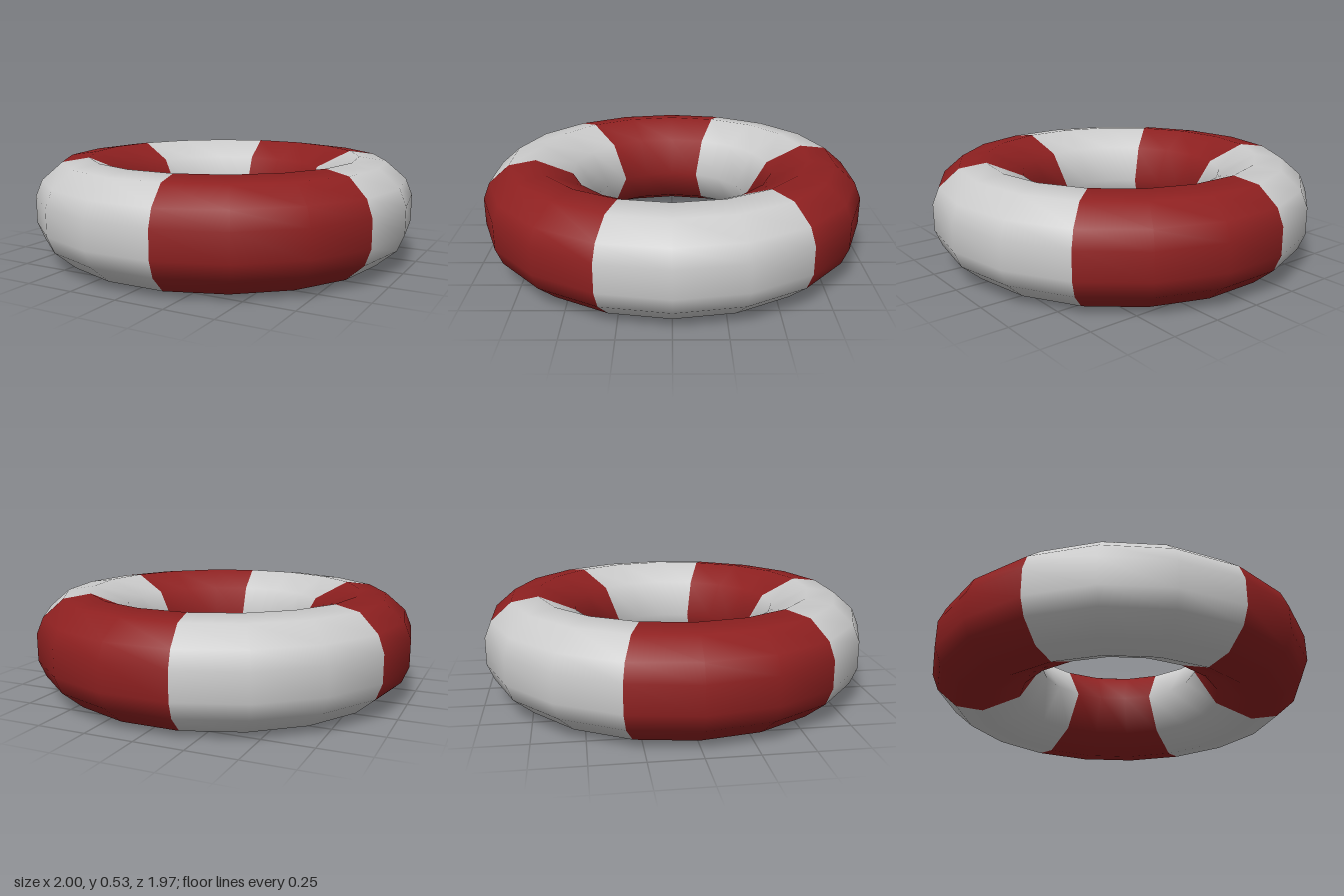
import * as THREE from 'three';

// Upper half of the tube section (radius, height), from outer wall to inner wall
const MID = 0.265;
const upper = [[1, 0.335], [0.965, 0.42], [0.86, 0.51], [0.72, 0.53], [0.53, 0.445]];
const inner = [0.42, MID];

// Closed section: inner wall, underside, outer wall, top, back to inner wall
const lower = upper.map(([r, y]) => [r, 2 * MID - y]).reverse();
const profile = [inner, ...lower, ...upper, inner].map(([r, y]) => new THREE.Vector2(r, y));

const BANDS = 6;
const STEPS = 3; // 18 sides around the ring
const ARC = (Math.PI * 2) / BANDS;

function bandGeometry(start) {
  const geometry = new THREE.LatheGeometry(profile, STEPS, start, ARC);
  // Smooth the inner seam where the section closes
  const normal = geometry.attributes.normal;
  const rows = profile.length;
  for (let i = 0; i <= STEPS; i++) {
    const a = start + (i * ARC) / STEPS;
    for (const j of [0, rows - 1]) normal.setXYZ(i * rows + j, -Math.sin(a), 0, -Math.cos(a));
  }
  return geometry;
}

export function createModel() {
  const ring = new THREE.Group();
  ring.name = 'lifebuoy';
  const red = new THREE.MeshStandardMaterial({ color: 0x8e2020 });
  const grey = new THREE.MeshStandardMaterial({ color: 0xcccccc });

  // Alternating red and pale bands
  for (let i = 0; i < BANDS; i++) {
    const isRed = i % 2 === 0;
    const start = THREE.MathUtils.degToRad(10) + i * ARC;
    const band = new THREE.Mesh(bandGeometry(start), isRed ? red : grey);
    band.name = (isRed ? 'redBand' : 'paleBand') + (Math.floor(i / 2) + 1);
    ring.add(band);
  }
  return ring;
}
